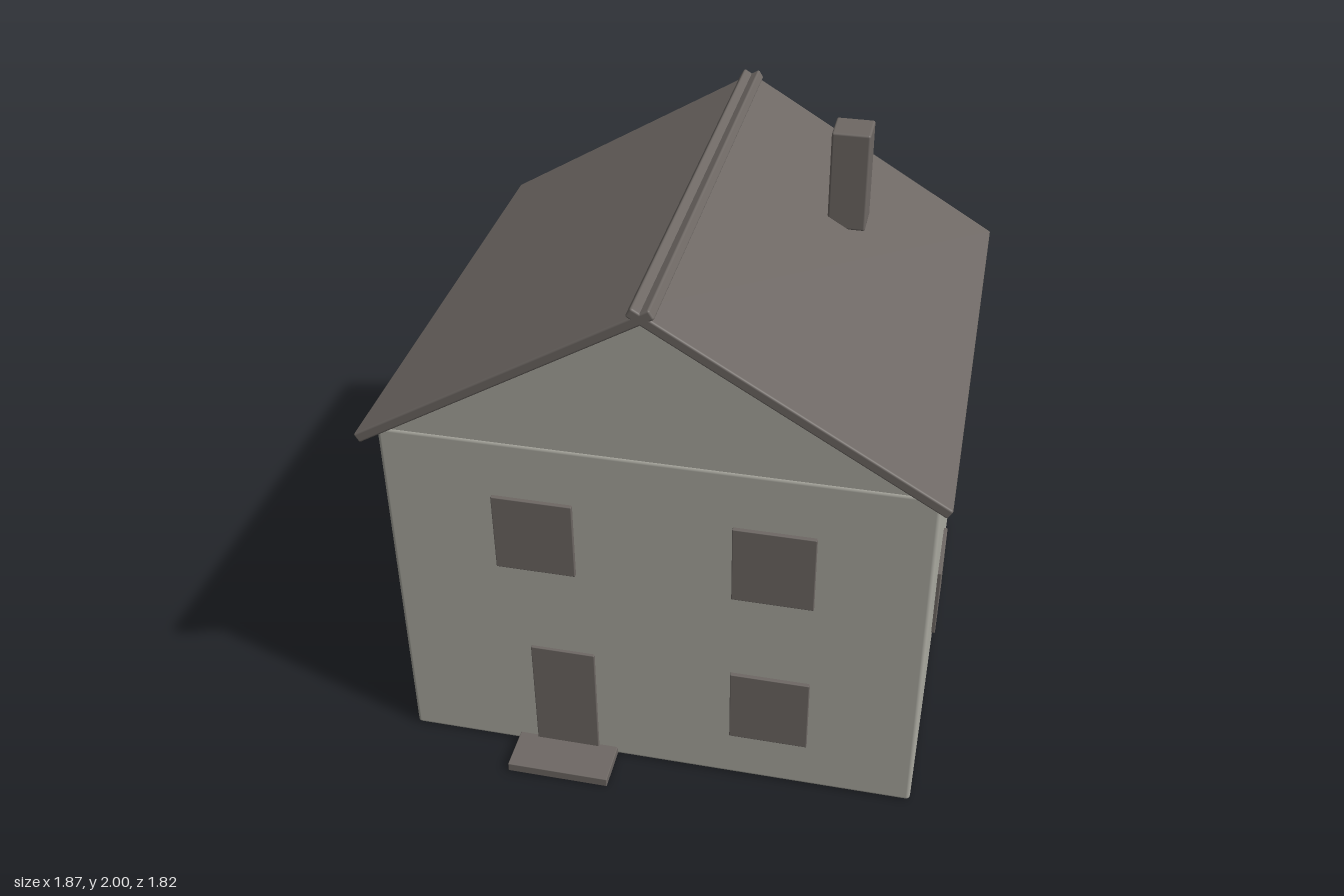
import * as THREE from 'three';
import { RoundedBoxGeometry } from 'three/addons/geometries/RoundedBoxGeometry.js';

export function createModel() {
  const house = new THREE.Group();
  house.name = 'house';

  const plaster = new THREE.MeshStandardMaterial({ color: 0xaaa9a0 });
  plaster.name = 'pale grey plaster';
  const slate = new THREE.MeshStandardMaterial({ color: 0x6e6864 });
  slate.name = 'dark warm grey';

  function add(name, geometry, material, x, y, z) {
    const mesh = new THREE.Mesh(geometry, material);
    mesh.name = name;
    mesh.position.set(x, y, z);
    house.add(mesh);
    return mesh;
  }

  // Softened box given by its size, edge radius and centre
  function block(name, material, [w, h, d], radius, [x, y, z]) {
    return add(name, new RoundedBoxGeometry(w, h, d, 3, radius), material, x, y, z);
  }

  const halfWidth = 0.9;
  const front = 0.754, back = -0.82;
  const depth = front - back, midZ = (front + back) / 2;
  const eaves = 1.33, apex = 1.88;

  // Walls
  block('walls', plaster, [halfWidth * 2, eaves, depth], 0.014, [0, eaves / 2, midZ]);

  // Gable prism under the roof
  const triangle = new THREE.Shape([
    new THREE.Vector2(-halfWidth, eaves),
    new THREE.Vector2(halfWidth, eaves),
    new THREE.Vector2(0, apex),
  ]);
  add('gable', new THREE.ExtrudeGeometry(triangle, { depth, bevelEnabled: false }), plaster, 0, 0, back);

  // Two roof slabs that cross at the ridge
  for (const side of [-1, 1]) {
    const slab = block(side > 0 ? 'leftRoofSlab' : 'rightRoofSlab', slate,
      [1.124, 0.035, 1.755], 0.007, [side * 0.4465, 1.6315, -0.034]);
    slab.rotation.z = -side * 0.539;
  }

  // Chimney
  block('chimney', slate, [0.132, 0.358, 0.132], 0.008, [0.45, 1.821, -0.349]);

  // Windows, standing slightly proud of the walls
  const paneWidth = 0.27, paneHeight = 0.291, paneDepth = 0.027;
  function pane(name, x, y, z, turned) {
    const size = turned ? [paneDepth, paneHeight, paneWidth] : [paneWidth, paneHeight, paneDepth];
    block(name, slate, size, 0.003, [x, y, z]);
  }
  const lower = 0.342, upper = 0.971;
  for (const y of [lower, upper]) {
    pane('frontWindow', 0.397, y, front, false);
    pane('backWindow', 0, y, back, false);
    for (const side of [-1, 1]) pane('sideWindow', side * halfWidth, y, midZ, true);
  }
  pane('frontWindow', -0.397, upper, front, false);

  // Door and doorstep
  block('door', slate, [0.225, 0.46, 0.02], 0.003, [-0.325, 0.245, front]);
  block('doorstep', slate, [0.36, 0.034, 0.17], 0.003, [-0.325, 0.018, 0.826]);

  return house;
}
